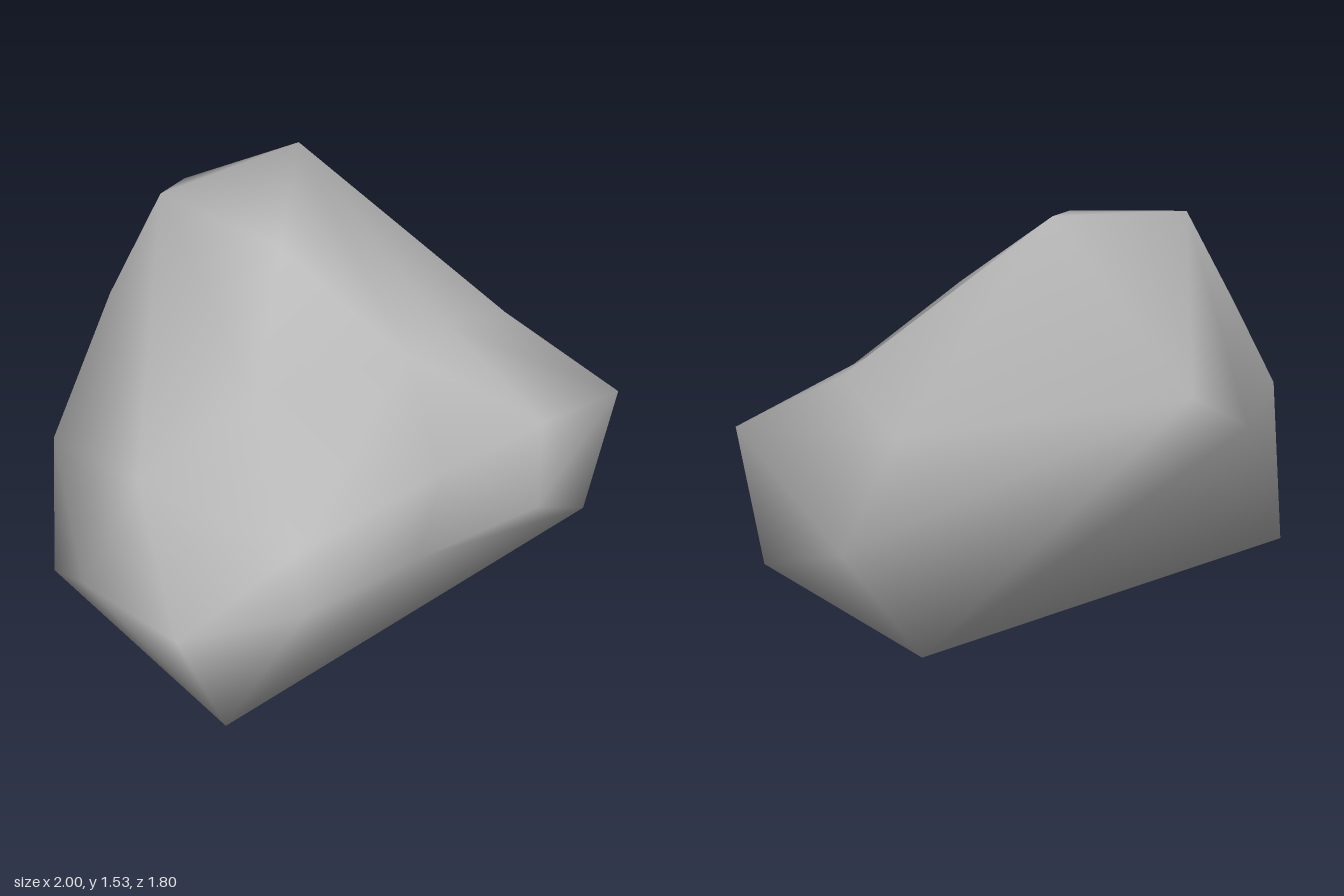
import * as THREE from 'three';
import { ConvexGeometry } from 'three/addons/geometries/ConvexGeometry.js';
import { mergeVertices } from 'three/addons/utils/BufferGeometryUtils.js';

const CENTRE = new THREE.Vector3(0, 0.7, 0.1);
const ROUND = 0.3; // how far corners are pulled to a ball while they are joined up

// Corners of the boulder, grouped by region
const CREST = [[0.2, 1.53, -0.2], [-0.35, 1.49, -0.22], [-0.15, 1.44, 0.22]];
const BACK = [[0.13, 1.06, -0.9], [-0.28, 0.83, -0.68]];
const LEFT = [[0.78, 0.83, -0.13], [0.96, 0.42, -0.05], [1, 0.68, 0.71], [0.74, 0.92, 0.35], [0.42, 1.02, 0.4]];
const RIGHT = [[-0.55, 1.14, -0.25], [-0.88, 0.74, -0.1], [-0.79, 0.81, 0.34], [-1, 0.43, 0.3], [-0.9, 0.48, 0.76], [-0.38, 1.04, 0.42]];
const FRONT = [[0.1, 1.13, 0.6], [0.1, 0.79, 0.83], [-0.5, 0.72, 0.84], [-0.5, 0.5, 0.9], [0, 0.47, 0.855], [0.52, 0.46, 0.86], [0.58, 0.76, 0.78]];
const BASE = [[0.7, 0, -0.12], [0.93, 0.13, 0.68], [-0.76, 0.06, 0.82], [-0.91, 0.1, -0.14]];

// Scale a point's distance from the origin by a power
const power = (v, e) => v.setLength(Math.pow(v.length(), e));

// Join corners into a closed skin that may have hollows, then smooth it
function boulderGeometry(corners) {
  const pts = corners.map(c => power(new THREE.Vector3(...c).sub(CENTRE), ROUND));
  let geo = new ConvexGeometry(pts);
  geo.deleteAttribute('normal');
  geo = mergeVertices(geo, 1e-4);
  const pos = geo.attributes.position;
  const v = new THREE.Vector3();
  for (let i = 0; i < pos.count; i++) {
    v.fromBufferAttribute(pos, i);
    power(v, 1 / ROUND).add(CENTRE);
    pos.setXYZ(i, v.x, v.y, v.z);
  }
  geo.computeVertexNormals();
  return geo;
}

export function createModel() {
  const group = new THREE.Group();
  group.name = 'rock';
  const stone = new THREE.MeshStandardMaterial({ color: 0xb8b8b8 });
  stone.name = 'grey stone';

  const boulder = new THREE.Mesh(
    boulderGeometry([...CREST, ...BACK, ...LEFT, ...RIGHT, ...FRONT, ...BASE]), stone);
  boulder.name = 'boulder';
  group.add(boulder);

  // Small sharp chips in the shoulders
  const chips = [
    [[-0.54, 1.1, -0.1], [-0.49, 1.13, -0.11], [-0.42, 1.07, 0.1], [-0.5, 1.0, 0]],
    [[0.36, 1.05, 0.38], [0.5, 0.99, 0.37], [0.44, 1.04, 0.3], [0.42, 0.95, 0.42]],
    [[0.54, 0.93, 0.38], [0.71, 0.9, 0.35], [0.55, 0.83, 0.66], [0.55, 0.8, 0.45]],
  ];
  chips.forEach((c, i) => {
    const chip = new THREE.Mesh(new ConvexGeometry(c.map(p => new THREE.Vector3(...p))), stone);
    chip.name = 'chip' + (i + 1);
    group.add(chip);
  });
  return group;
}
